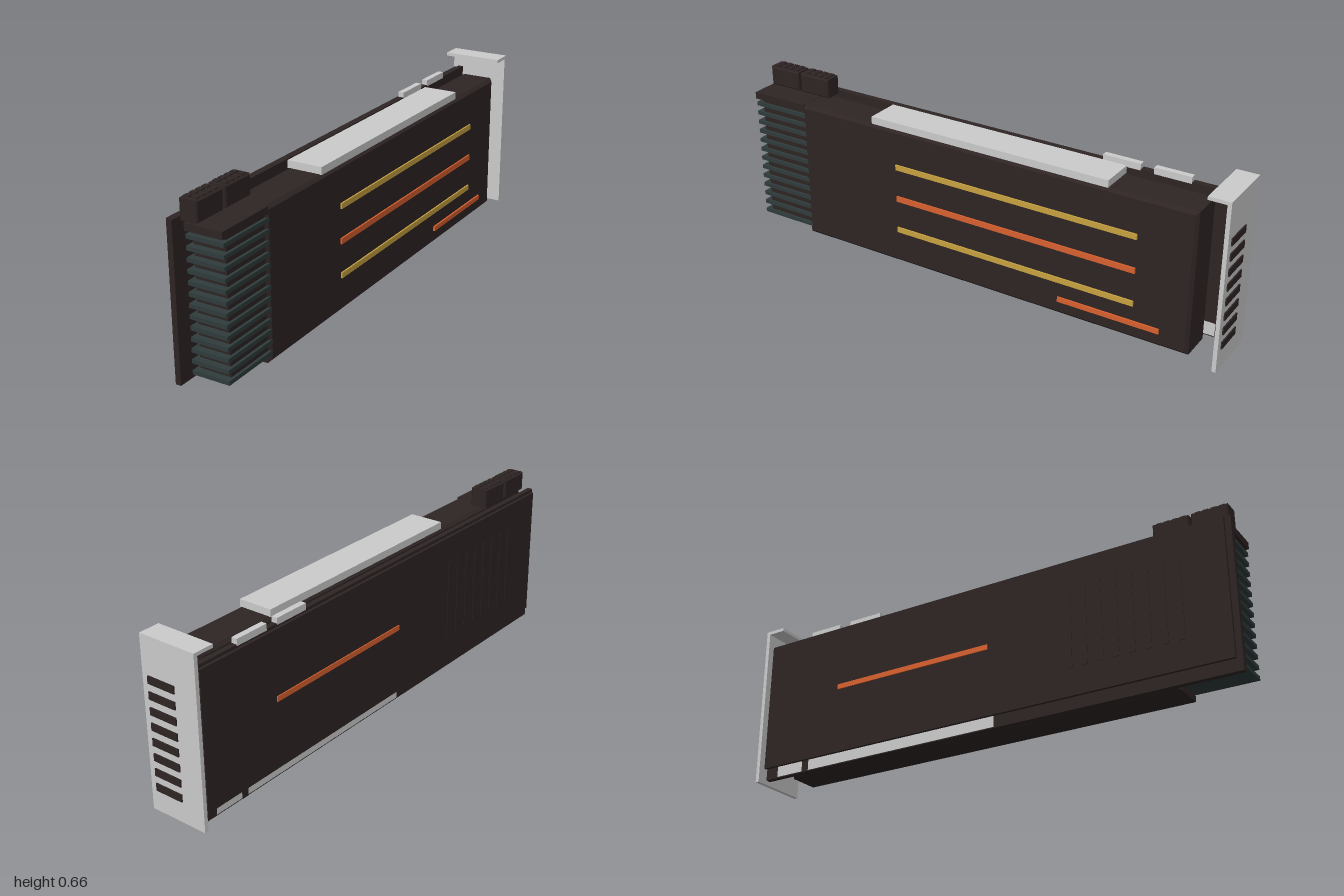
import * as THREE from 'three';

const mat = (name, color) => {
  const m = new THREE.MeshStandardMaterial({ color });
  m.name = name;
  return m;
};

export function createModel() {
  const dark = mat('dark casing', 0x2e2424);
  const teal = mat('teal fins', 0x2f3b3b);
  const metal = mat('light metal', 0xcbcbcb);
  const gold = mat('gold stripe', 0xc8a240);
  const orange = mat('orange stripe', 0xd8602e);

  const root = new THREE.Group();
  root.name = 'expansionCard';

  // Box given by its extents on each axis
  const box = (name, material, [x0, x1], [y0, y1], [z0, z1]) => {
    const mesh = new THREE.Mesh(new THREE.BoxGeometry(x1 - x0, y1 - y0, z1 - z0), material);
    mesh.position.set((x0 + x1) / 2, (y0 + y1) / 2, (z0 + z1) / 2);
    mesh.name = name;
    root.add(mesh);
    return mesh;
  };

  // Box with chamfered edges, outline in the z-y plane extruded along x
  const chamferBox = (name, material, [x0, x1], [y0, y1], [z0, z1], b) => {
    const s = new THREE.Shape();
    const [l, r, d, u] = [z0 + b, z1 - b, y0 + b, y1 - b];
    s.moveTo(-r, d);
    s.lineTo(-l, d);
    s.lineTo(-l, u);
    s.lineTo(-r, u);
    s.closePath();
    const g = new THREE.ExtrudeGeometry(s, {
      depth: x1 - x0 - 2 * b, bevelEnabled: true, bevelSize: b, bevelThickness: b, bevelSegments: 1,
    });
    g.rotateY(Math.PI / 2); // shape x becomes -z, depth becomes x
    g.translate(x0 + b, 0, 0);
    const mesh = new THREE.Mesh(g, material);
    mesh.name = name;
    root.add(mesh);
    return mesh;
  };

  // Circuit board and back plate
  box('circuitBoard', dark, [-0.09, -0.069], [0.01, 0.58], [-0.965, 1]);
  box('backPlate', dark, [-0.107, -0.096], [0.053, 0.573], [-0.965, 0.98]);
  box('backStripe', orange, [-0.111, -0.107], [0.31, 0.33], [-0.62, 0.055]);
  for (let i = 0; i < 8; i++) {
    const z = 0.385 + i * 0.06;
    box('backVent', dark, [-0.109, -0.107], [0.158, 0.469], [z - 0.012, z + 0.012]);
  }

  // Edge contacts with the key between them
  box('edgeContactsLong', metal, [-0.091, -0.068], [0.014, 0.065], [-0.76, 0.07]);
  box('edgeContactsShort', metal, [-0.091, -0.068], [0.014, 0.065], [-0.91, -0.79]);
  box('contactKey', dark, [-0.0915, -0.0675], [0.01, 0.065], [-0.79, -0.76]);

  // Bridge tabs on the upper edge
  for (const z of [[-0.78, -0.64], [-0.59, -0.445]]) {
    box('bridgeTab', metal, [-0.091, -0.068], [0.575, 0.6], z);
  }

  // Cooler shroud and its top plate
  chamferBox('shroud', dark, [-0.035, 0.108], [0.022, 0.573], [-0.885, 0.755], 0.012);
  box('topPlate', metal, [-0.032, 0.103], [0.572, 0.6], [-0.555, 0.425]);

  // Stripes on the shroud
  const long = [-0.675, 0.316];
  box('stripeUpper', gold, [0.107, 0.114], [0.414, 0.435], long);
  box('stripeMiddle', orange, [0.107, 0.114], [0.283, 0.305], long);
  box('stripeLower', gold, [0.107, 0.114], [0.153, 0.174], long);
  box('stripeShort', orange, [0.107, 0.115], [0.076, 0.095], [-0.777, -0.38]);

  // Finned front end
  box('finCore', dark, [-0.023, 0.098], [0.053, 0.55], [0.74, 0.955]);
  box('finCap', dark, [-0.035, 0.108], [0.548, 0.574], [0.745, 0.985]);
  for (let i = 0; i < 13; i++) {
    const y = 0.06 + i * 0.039;
    box('coolingFin', teal, [-0.035, 0.1085], [y - 0.0075, y + 0.0075], [0.74, 0.98]);
  }

  // Power sockets with two rows of pin caps
  for (const z0 of [0.7, 0.845]) {
    chamferBox('powerSocket', dark, [-0.055, 0.013], [0.577, 0.652], [z0, z0 + 0.135], 0.005);
    for (let i = 0; i < 4; i++) {
      const z = z0 + 0.022 + i * 0.03;
      for (const x of [-0.036, -0.006]) {
        box('powerPin', dark, [x - 0.011, x + 0.011], [0.65, 0.656], [z - 0.01, z + 0.01]);
      }
    }
  }

  // Mounting bracket with a bent top flange and vent slots
  box('bracketPlate', metal, [-0.118, 0.115], [0, 0.645], [-0.995, -0.98]);
  box('bracketFlange', metal, [-0.118, 0.115], [0.632, 0.645], [-0.98, -0.912]);
  for (let i = 0; i < 8; i++) {
    const y = 0.095 + i * 0.0565;
    box('bracketSlot', dark, [-0.025, 0.09], [y - 0.014, y + 0.014], [-1, -0.995]);
  }

  return root;
}
